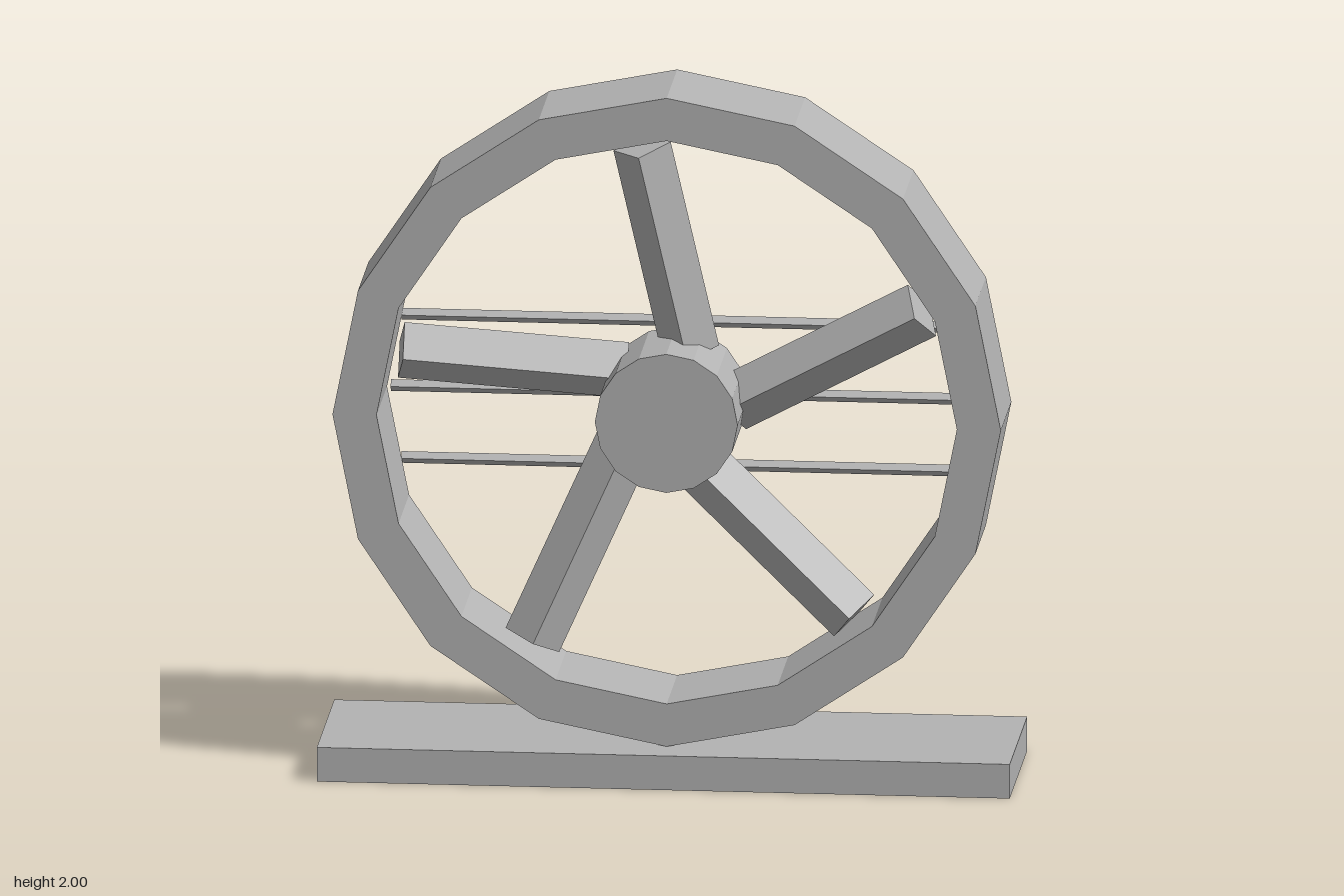
import * as THREE from 'three';

const CENTER_Y = 1.05;

// Regular polygon points with one corner pointing straight up
function polygon(radius, sides) {
  return Array.from({ length: sides }, (_, i) => {
    const a = Math.PI / 2 + (i * 2 * Math.PI) / sides;
    return new THREE.Vector2(radius * Math.cos(a), radius * Math.sin(a));
  });
}

export function createModel() {
  const group = new THREE.Group();
  const grey = new THREE.MeshStandardMaterial({ color: 0xb3b3b3, flatShading: true });
  grey.name = 'grey';

  const add = (name, geometry, parent = group) => {
    const mesh = new THREE.Mesh(geometry, grey);
    mesh.name = name;
    parent.add(mesh);
    return mesh;
  };

  // Base slab
  add('base', new THREE.BoxGeometry(1.97, 0.1, 0.524)).position.y = 0.05;

  // Sixteen-sided housing ring
  const ringShape = new THREE.Shape(polygon(0.95, 16));
  ringShape.holes.push(new THREE.Path(polygon(0.825, 16).reverse()));
  const ringGeometry = new THREE.ExtrudeGeometry(ringShape, { depth: 0.316, bevelEnabled: false });
  add('housingRing', ringGeometry).position.set(0, CENTER_Y, -0.156);

  // Hub and blades
  const rotor = new THREE.Group();
  rotor.name = 'rotor';
  rotor.position.y = CENTER_Y;
  group.add(rotor);

  const hub = add('hub', new THREE.CylinderGeometry(0.203, 0.203, 0.305, 16), rotor);
  hub.rotation.x = Math.PI / 2;
  hub.position.z = 0.02;

  // Square bars, twisted on their own axis, leaning forward and set beside the radius
  const bladeGeometry = new THREE.BoxGeometry(0.64, 0.118, 0.118);
  for (let i = 0; i < 5; i++) {
    const arm = new THREE.Group();
    arm.name = 'bladeArm';
    arm.rotation.z = THREE.MathUtils.degToRad(29.7 + 72 * i);
    rotor.add(arm);
    const blade = add('blade', bladeGeometry, arm);
    blade.position.set(0.462, -0.079, 0);
    blade.rotation.set(0.73, -0.155, 0, 'YXZ');
  }

  // Guard rods across the back
  for (const [offset, length] of [[-0.21, 1.57], [0, 1.63], [0.21, 1.57]]) {
    const rod = add('guardRod', new THREE.CylinderGeometry(0.017, 0.017, length, 4));
    rod.rotation.z = Math.PI / 2;
    rod.position.set(0, CENTER_Y + offset, -0.173);
  }

  return group;
}
